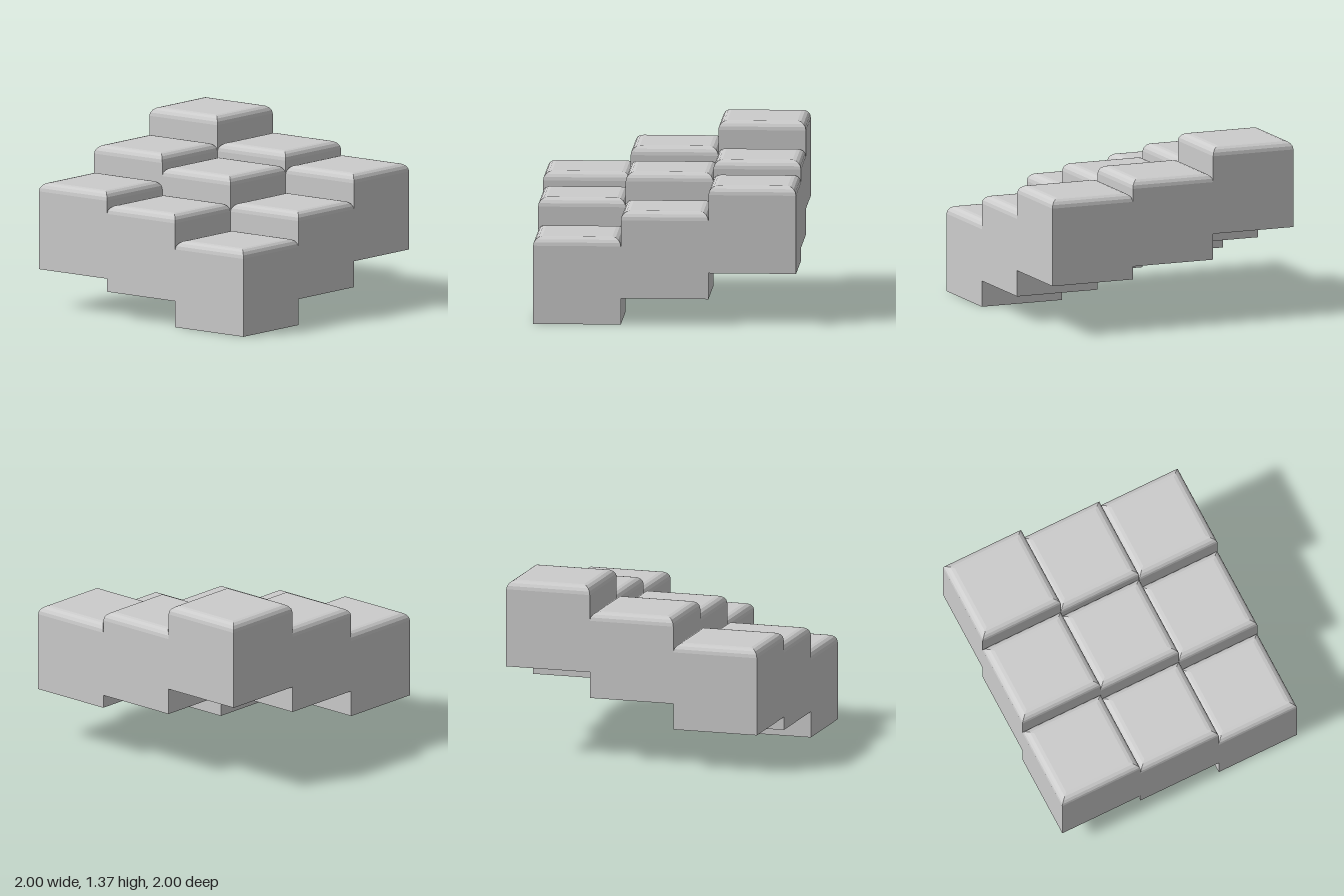
import * as THREE from 'three';

const SIDE = 2 / 3;
const BEVEL = SIDE / 10;
const BEVEL_STEPS = 4;

// Square block with a flat base and rounded, mitred top edges:
// a four-sided lathe whose profile radius reaches the corners.
function createBlockGeometry() {
  const half = SIDE / 2;
  const profile = [[0, 0], [half, 0]];
  for (let i = 0; i <= BEVEL_STEPS; i++) {
    const a = (i / BEVEL_STEPS) * Math.PI / 2;
    profile.push([half - BEVEL + BEVEL * Math.cos(a), SIDE - BEVEL + BEVEL * Math.sin(a)]);
  }
  profile.push([0, SIDE]);
  const points = profile.map(([r, y]) => new THREE.Vector2(r * Math.SQRT2, y));
  return new THREE.LatheGeometry(points, 4, Math.PI / 4);
}

export function createModel() {
  const group = new THREE.Group();
  group.name = 'steppedBlocks';

  const grey = new THREE.MeshStandardMaterial({ color: 0xcccccc, flatShading: true });
  grey.name = 'light grey';

  // Base height of each block: rows run back to front, columns run -x to +x
  const baseHeights = [
    [0.7, 0.5, 0.4],
    [0.5, 0.4, 0.2],
    [0.3, 0.2, 0.0],
  ];
  const rowNames = ['back', 'middle', 'front'];
  const columnNames = ['Right', 'Centre', 'Left'];

  const geometry = createBlockGeometry();
  baseHeights.forEach((row, r) => row.forEach((y, c) => {
    const block = new THREE.Mesh(geometry, grey);
    block.name = `${rowNames[r]}${columnNames[c]}Block`;
    block.position.set((c - 1) * SIDE, y, (r - 1) * SIDE);
    group.add(block);
  }));

  return group;
}
